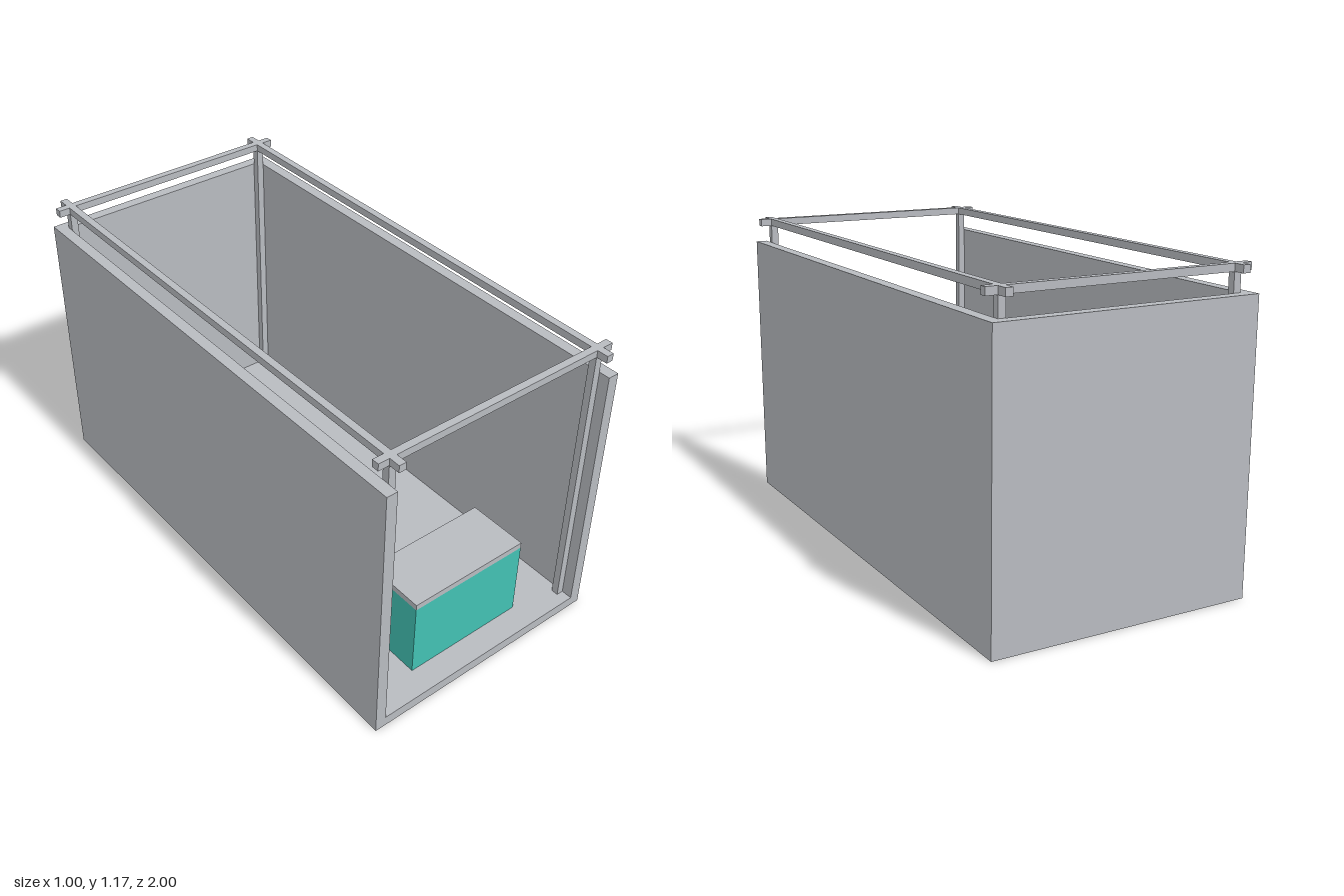
import * as THREE from 'three';

export function createModel() {
  const model = new THREE.Group();
  model.name = 'exhibitionBooth';

  const grey = new THREE.MeshStandardMaterial({ color: 0xb8bbc0 });
  grey.name = 'light grey';
  const teal = new THREE.MeshStandardMaterial({ color: 0x42c1b3 });
  teal.name = 'teal';

  // Box given by its lower and upper corners
  function box(name, material, [x0, y0, z0], [x1, y1, z1], parent = model) {
    const geometry = new THREE.BoxGeometry(x1 - x0, y1 - y0, z1 - z0);
    const mesh = new THREE.Mesh(geometry, material);
    mesh.position.set((x0 + x1) / 2, (y0 + y1) / 2, (z0 + z1) / 2);
    mesh.name = name;
    parent.add(mesh);
    return mesh;
  }

  const inX = 0.457;      // inner face of the side walls
  const inZ = 0.957;      // inner face of the back wall
  const bar = 0.028;      // thickness of posts and rails
  const floorTop = 0.04;
  const wallTop = 1.067;
  const railBottom = 1.138;
  const railTop = 1.166;

  // Floor and walls
  box('floor', grey, [-inX, 0, -inZ], [inX, floorTop, 1]);
  box('backWall', grey, [-inX, 0, -1], [inX, wallTop, -inZ]);
  box('leftWall', grey, [inX, 0, -1], [0.5, wallTop, 1]);
  box('rightWall', grey, [-0.5, 0, -1], [-inX, wallTop, 1]);

  // Frame: four corner posts carrying crossed rails
  const frame = new THREE.Group();
  frame.name = 'frame';
  model.add(frame);
  const cx = inX - bar / 2;
  const cz = inZ - bar / 2;
  const h = bar / 2;
  for (const sx of [-1, 1]) {
    const x = sx * cx;
    box('sideRail', grey, [x - h, railBottom, -1], [x + h, railTop, 1], frame);
    for (const sz of [-1, 1]) {
      const z = sz * cz;
      box('post', grey, [x - h, floorTop, z - h], [x + h, railBottom, z + h], frame);
    }
  }
  for (const sz of [-1, 1]) {
    const z = sz * cz;
    box('crossRail', grey, [-0.5, railBottom, z - h], [0.5, railTop, z + h], frame);
  }

  // Counter near the open front, sunk through the floor
  const counter = new THREE.Group();
  counter.name = 'counter';
  model.add(counter);
  box('counterBody', teal, [-0.25, 0, 0.66], [0.25, 0.347, 0.9], counter);
  box('counterTop', grey, [-0.25, 0.347, 0.66], [0.25, 0.37, 0.9], counter);

  return model;
}
